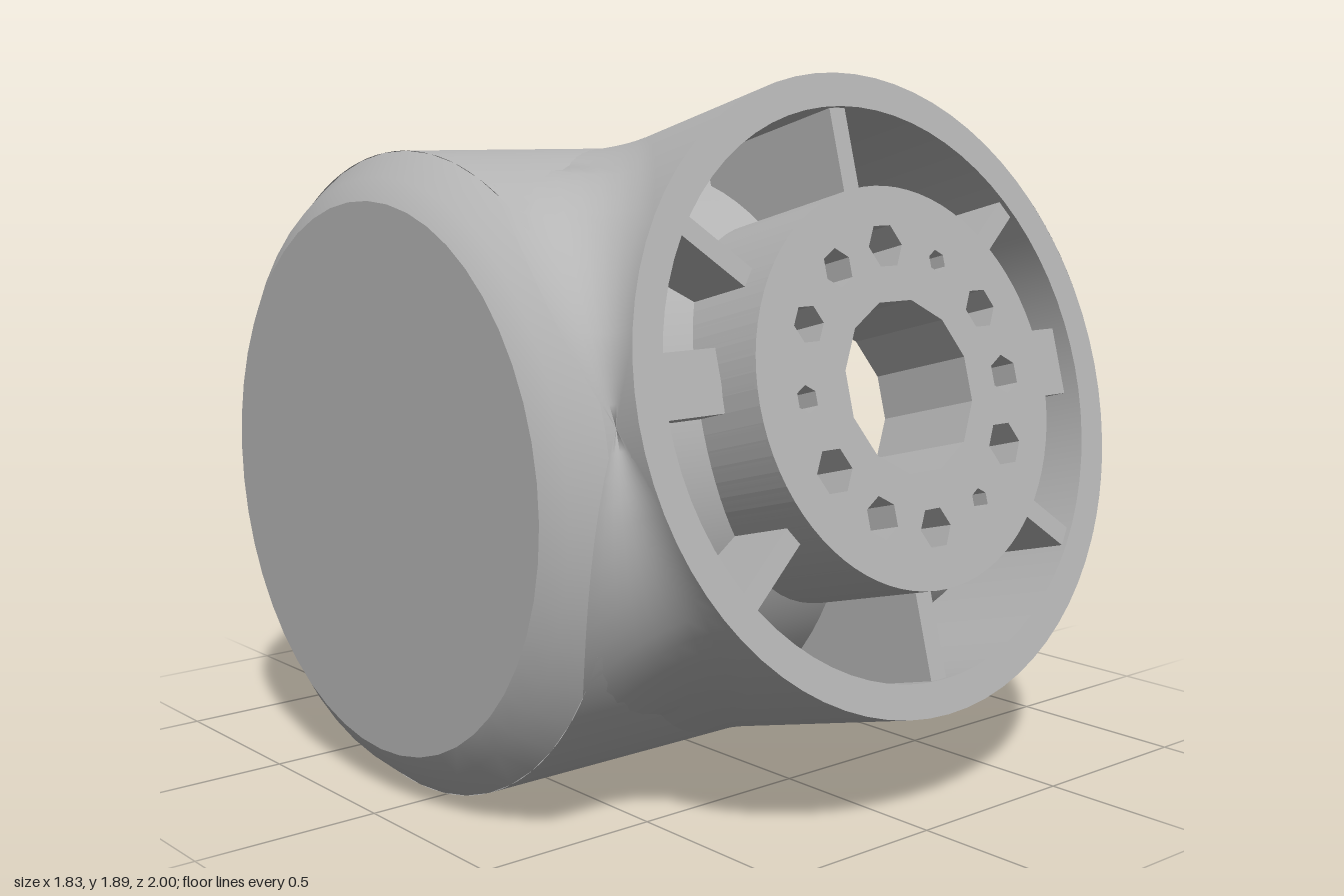
import * as THREE from 'three';
import { ParametricGeometry } from 'three/addons/geometries/ParametricGeometry.js';

const BODY_R = 0.845, CAVITY_R = 0.65;        // main barrel, along x
const BOSS_R = 0.828, RIM_R = 0.74, HUB_R = 0.515, BOSS_X = 0.07;
const FLOOR_R = 0.78;                         // curved floor of the boss recess
const FACE_Z = 0.93, HUB_Z = 0.997, HUB_BACK = 0.68; // heights along the boss axis
const TILT = THREE.MathUtils.degToRad(15.2);  // boss looks slightly upward
const RIGHT = 0.915, LEFT = -0.79;
const rad = THREE.MathUtils.degToRad;

const metal = new THREE.MeshStandardMaterial({ color: 0xb5b5b5, side: THREE.DoubleSide });
metal.name = 'castGrey';

function add(parent, name, geometry) {
  const mesh = new THREE.Mesh(geometry, metal);
  mesh.name = name;
  parent.add(mesh);
  return mesh;
}

function surface(fn, nu, nv) {
  return new ParametricGeometry((u, v, p) => p.set(...fn(u, v)), nu, nv);
}

// Height of a barrel of radius r at offset y
const heightAt = (r, y) => Math.sqrt(Math.max(0, r * r - y * y));

// Regular or stretched polygon hole, placed at a polar position
function polyHole(angle, dist, halfRadial, halfTangent, sides) {
  const pts = [];
  for (let i = 0; i < sides; i++) {
    const a = ((i + 0.5) / sides) * Math.PI * 2;
    pts.push(new THREE.Vector2(dist + halfRadial * Math.cos(a), halfTangent * Math.sin(a))
      .rotateAround(new THREE.Vector2(), angle));
  }
  return new THREE.Path(pts);
}

function plate(radius, holes, depth) {
  const shape = new THREE.Shape().absarc(0, 0, radius, 0, Math.PI * 2, false);
  shape.holes.push(...holes);
  return new THREE.ExtrudeGeometry(shape, { depth, bevelEnabled: false, curveSegments: 40 });
}

// Barrel wall around x with a round opening of radius cut on the +z side
function barrel(parent, name, r, cut, x0, x1, swell) {
  const point = (x, a) => {
    // gentle swelling towards the back, fading out at both ends
    const back = Math.max(0, -Math.cos(a + TILT));
    const rr = r + swell * back * back * Math.max(0, 1 - (x / 0.91) ** 2);
    return [x, rr * Math.sin(a), rr * Math.cos(a)];
  };
  const edge = Math.asin(cut / r);
  add(parent, name + 'Back', surface((u, v) =>
    point(x0 + (x1 - x0) * u, edge + (Math.PI * 2 - 2 * edge) * v), 12, 64));
  for (const s of [-1, 1]) {
    add(parent, name + (s < 0 ? 'FrontRight' : 'FrontLeft'), surface((u, v) => {
      const q = (v - 0.5) * Math.PI;
      const rim = BOSS_X + s * cut * Math.cos(q);
      const [a, b] = s < 0 ? [x0, rim] : [rim, x1];
      return point(a + (b - a) * u, Math.asin((cut / r) * Math.sin(q)));
    }, 6, 48));
  }
}

// Round wall on the boss axis, from a barrel surface of radius r up to a height
function sleeve(parent, name, radius, r, top) {
  add(parent, name, surface((u, v) => {
    const a = u * Math.PI * 2, y = radius * Math.sin(a), low = heightAt(r, y);
    return [BOSS_X + radius * Math.cos(a), y, low + (top - low) * v];
  }, 72, 1));
}

// Hollow blend where the boss wall runs into the barrel, widest at the diagonals
function fillet(u, v) {
  const a = u * Math.PI * 2, size = 0.24 * Math.abs(Math.sin(2 * a));
  const x = BOSS_X + BOSS_R * Math.cos(a), y = BOSS_R * Math.sin(a);
  const low = heightAt(BODY_R, y);
  const outX = Math.min(RIGHT, BOSS_X + (BOSS_R + size) * Math.cos(a));
  const outY = THREE.MathUtils.clamp((BOSS_R + size) * Math.sin(a), -0.842, 0.842);
  const wall = [x, y, Math.min(low + size, FACE_Z)];
  const corner = [x, y, low];
  const shell = [outX, outY, heightAt(BODY_R, outY)];
  return wall.map((w, i) => w * (1 - v) ** 2 + 2 * corner[i] * v * (1 - v) + shell[i] * v * v);
}

export function createModel() {
  const model = new THREE.Group();
  model.name = 'pipeHousing';
  const body = new THREE.Group();
  body.name = 'body';
  body.position.set(0, 0.847, -0.11);
  body.rotation.x = -TILT;
  model.add(body);

  barrel(body, 'outerShell', BODY_R, BOSS_R, LEFT, RIGHT, 0.045);
  barrel(body, 'cavityWall', CAVITY_R, HUB_R, -0.75, RIGHT, 0);

  // Closed end with chamfered edge
  const cap = add(body, 'closedEnd', new THREE.LatheGeometry([
    [0, 0.91], [0.72, 0.91], [0.72, 0.91], [0.78, 0.87], [BODY_R, -LEFT]
  ].map(p => new THREE.Vector2(...p)), 48));
  cap.rotation.z = Math.PI / 2;

  // Boss: outer wall, blend, rim, curved recess floor
  sleeve(body, 'bossWall', BOSS_R, BODY_R, FACE_Z);
  add(body, 'bossFillet', surface(fillet, 96, 8));
  sleeve(body, 'rimInnerWall', RIM_R, FLOOR_R, FACE_Z);
  sleeve(body, 'hubSkirt', HUB_R, CAVITY_R, HUB_Z - 0.01);
  add(body, 'bossRim', new THREE.RingGeometry(RIM_R, BOSS_R, 72)).position.set(BOSS_X, 0, FACE_Z);
  add(body, 'recessFloor', surface((u, v) => {
    const a = u * Math.PI * 2, q = HUB_R + (RIM_R - HUB_R) * v, y = q * Math.sin(a);
    return [BOSS_X + q * Math.cos(a), y, heightAt(FLOOR_R, y)];
  }, 72, 6));

  // Hub plate with central bore and twelve bolt holes
  const sizes = [0.052, 0.055, 0.03, 0.06, 0.05, 0.05, 0.035, 0.06, 0.055, 0.055, 0.03, 0.06];
  const bolts = sizes.map((s, i) => polyHole(rad(i * 30), 0.36, s, s, 6));
  const bore = polyHole(0, 0, 0.225, 0.225, 12);
  add(body, 'hub', plate(HUB_R, [bore, ...bolts], HUB_Z - HUB_BACK)).position.set(BOSS_X, 0, HUB_BACK);

  // Radial ribs across the recess, standing on its floor
  for (const deg of [38, 90, 142, 218, 270, 322]) {
    const x = 0.63 * Math.cos(rad(deg)), y = 0.63 * Math.sin(rad(deg));
    const low = heightAt(FLOOR_R, y) - 0.04, high = FACE_Z - 0.015;
    const rib = add(body, 'recessRib', new THREE.BoxGeometry(0.25, 0.055, high - low));
    rib.position.set(BOSS_X + x, y, (low + high) / 2);
    rib.rotation.z = rad(deg);
  }
  // Key on one side, low pad on the other
  add(body, 'hubKey', new THREE.BoxGeometry(0.18, 0.18, 0.22)).position.set(BOSS_X + 0.54, 0.02, 0.855);
  add(body, 'recessPad', new THREE.BoxGeometry(0.24, 0.16, 0.14)).position.set(BOSS_X - 0.63, 0.08, 0.8);

  // Open end, upright: local z points along the barrel, local x to the back
  const end = new THREE.Group();
  end.name = 'openEnd';
  end.rotation.y = Math.PI / 2;
  const upright = new THREE.Group();
  upright.name = 'uprightParts';
  upright.rotation.x = TILT;
  upright.add(end);
  body.add(upright);

  const pockets = [polyHole(0, 0, CAVITY_R, CAVITY_R, 40)];
  for (let i = 0; i < 12; i++) pockets.push(polyHole(rad(15 + 30 * i), 0.715, 0.05, 0.05, 4));
  for (let i = -4; i <= 4; i++) pockets.push(polyHole(rad(30 * i), 0.735, 0.058, 0.11, 8));
  add(end, 'endRing', plate(BODY_R - 0.002, pockets, 0.1)).position.z = RIGHT - 0.1;
  add(end, 'pocketFloor', new THREE.RingGeometry(CAVITY_R, BODY_R - 0.01, 48)).position.z = RIGHT - 0.1;

  // Cavity floor with three round-nosed pads and thin radial spikes
  add(end, 'cavityFloor', new THREE.CircleGeometry(CAVITY_R, 48)).position.z = -0.75;
  for (const deg of [90, 210, 330]) {
    const s = new THREE.Shape([[0.64, -0.075], [0.64, 0.075], [0.37, 0.075], [0.33, 0.04],
      [0.33, -0.04], [0.37, -0.075]].map(p => new THREE.Vector2(...p)));
    const pad = add(end, 'cavityPad', new THREE.ExtrudeGeometry(s, { depth: 0.06, bevelEnabled: false }));
    pad.position.z = -0.75;
    pad.rotation.z = rad(deg);
  }
  for (const deg of [30, 90, 150, 165, 210, 270, 300, 330]) {
    const a = rad(deg), len = deg % 90 ? 0.5 : 0.58;
    const spike = add(end, 'floorSpike', new THREE.ConeGeometry(0.025, len, 4));
    spike.position.set((0.06 + len / 2) * Math.cos(a), (0.06 + len / 2) * Math.sin(a), -0.745);
    spike.rotation.z = a - Math.PI / 2;
  }
  return model;
}
